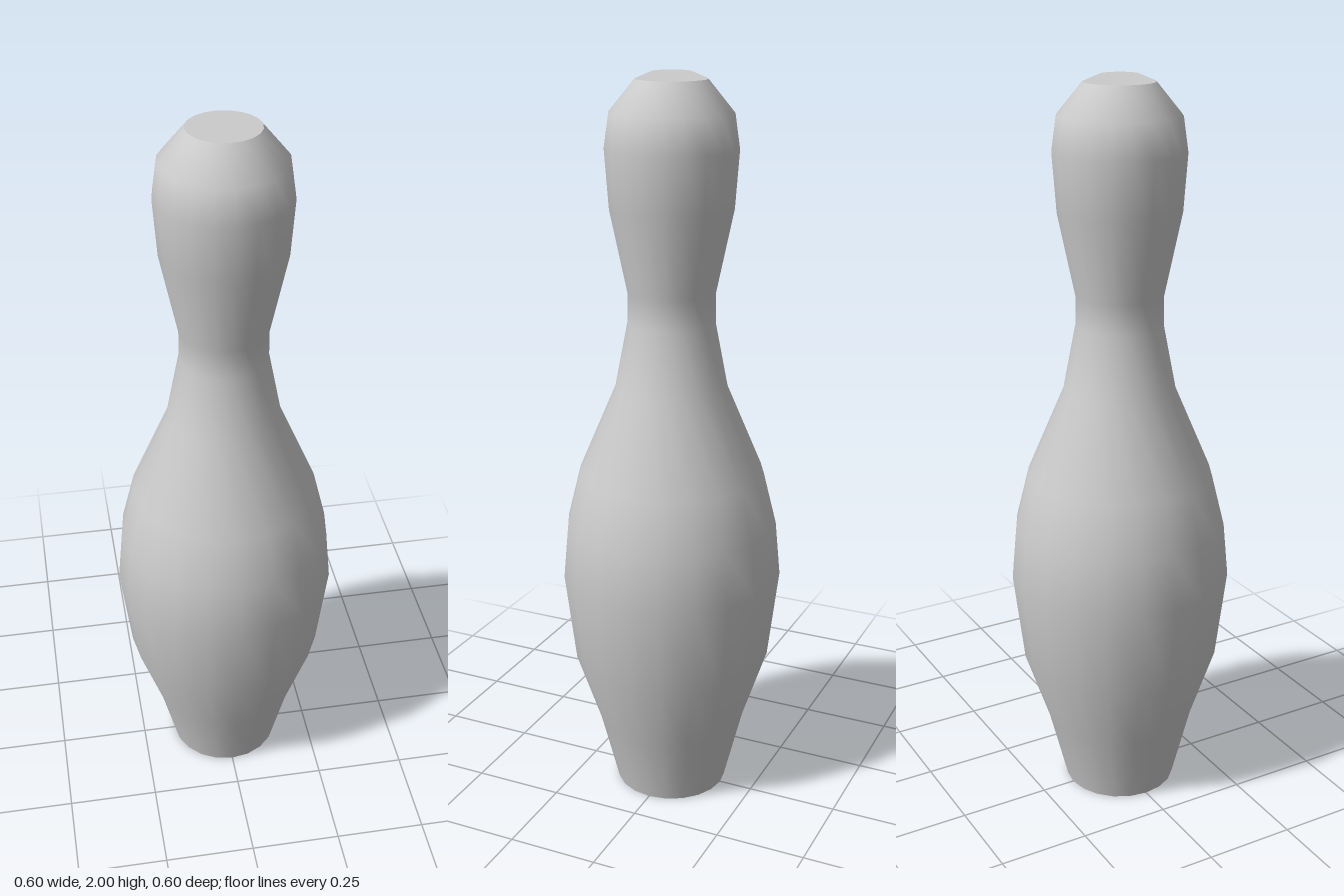
import * as THREE from 'three';

const SIDES = 20;

function lathe(profile) {
  return new THREE.LatheGeometry(profile.map(([r, y]) => new THREE.Vector2(r, y)), SIDES);
}

export function createModel() {
  const group = new THREE.Group();
  group.name = 'bowlingPin';
  const material = new THREE.MeshStandardMaterial({ color: 0xcccccc });

  const add = (name, geometry) => {
    const mesh = new THREE.Mesh(geometry, material);
    mesh.name = name;
    group.add(mesh);
    return mesh;
  };

  // Smooth body: foot, belly, neck and head, as [radius, height]
  add('body', lathe([
    [0.155, 0], [0.205, 0.2], [0.272, 0.4], [0.302, 0.65], [0.288, 0.8],
    [0.252, 0.945], [0.152, 1.18], [0.117, 1.36], [0.117, 1.44],
    [0.163, 1.66], [0.174, 1.81], [0.161, 1.9], [0.093, 1.982],
  ]));

  // Shallow crown, shaded flat and separated from the head by a crease
  const crown = lathe([[0.093, 1.982], [0.05, 2], [0, 2]]);
  const normals = crown.attributes.normal;
  for (let i = 0; i < normals.count; i++) normals.setXYZ(i, 0, 1, 0);
  add('crown', crown);

  // Flat underside
  add('base', new THREE.CircleGeometry(0.155, SIDES)).rotation.x = Math.PI / 2;

  return group;
}
